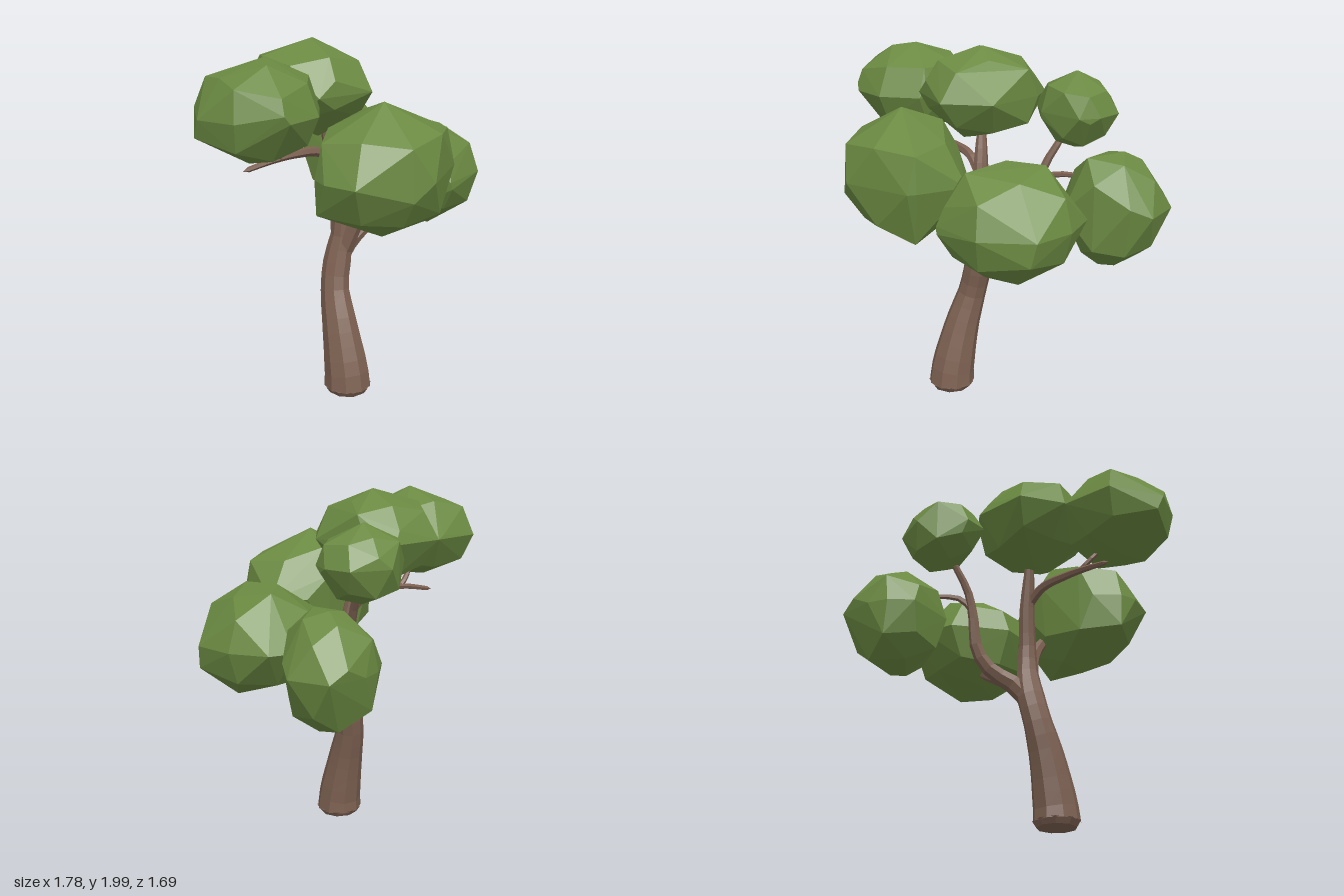
import * as THREE from 'three';
import { ConvexGeometry } from 'three/addons/geometries/ConvexGeometry.js';

const bark = new THREE.MeshStandardMaterial({ color: 0x7d6152, flatShading: true });
const leaf = new THREE.MeshStandardMaterial({ color: 0x6b8a42, flatShading: true });

// Tapered tube through points [x, y, z, radius], closed to a point at its end
function limb(name, points, sides, segments) {
  const curve = new THREE.CatmullRomCurve3(points.map(p => new THREE.Vector3(p[0], p[1], p[2])));
  const geo = new THREE.TubeGeometry(curve, segments, 1, sides);
  const pos = geo.attributes.position, nor = geo.attributes.normal;
  const n = new THREE.Vector3();
  for (let i = 0; i < pos.count; i++) {
    const ring = Math.floor(i / (sides + 1));
    const u = ring / segments;
    const t = curve.getUtoTmapping(u) * (points.length - 1);
    const k = Math.min(Math.floor(t), points.length - 2);
    const r = ring === segments ? 0 : THREE.MathUtils.lerp(points[k][3], points[k + 1][3], t - k);
    n.fromBufferAttribute(nor, i).multiplyScalar(r).add(curve.getPointAt(u));
    pos.setXYZ(i, n.x, n.y, n.z);
  }
  geo.computeVertexNormals();
  const mesh = new THREE.Mesh(geo, bark);
  mesh.name = name;
  return mesh;
}

// Faceted clump: hull of three crossing sections through its centre, front [x, y],
// side [z, y] and top [x, z], rounded out by one corner in each octant
function clump(name, [cx, cy, cz], front, side, top) {
  const points = [
    ...front.map(([x, y]) => new THREE.Vector3(x, y, cz)),
    ...side.map(([z, y]) => new THREE.Vector3(cx, y, z)),
    ...top.map(([x, z]) => new THREE.Vector3(x, cy, z)),
  ];
  const box = new THREE.Box3().setFromPoints(points);
  const mid = box.getCenter(new THREE.Vector3());
  const reach = box.getSize(new THREE.Vector3()).multiplyScalar(0.29);
  for (const sx of [-1, 1]) for (const sy of [-1, 1]) for (const sz of [-1, 1]) {
    points.push(new THREE.Vector3(sx, sy, sz).multiply(reach).add(mid));
  }
  const mesh = new THREE.Mesh(new ConvexGeometry(points), leaf);
  mesh.name = name;
  return mesh;
}

export function createModel() {
  const tree = new THREE.Group();
  tree.name = 'tree';

  // Bevelled trunk foot, its sides lined up with the trunk
  const foot = new THREE.Mesh(new THREE.CylinderGeometry(0.134, 0.112, 0.035, 9), bark);
  foot.name = 'trunkFoot';
  foot.position.set(-0.015, 0.0275, 0.26);
  foot.rotation.y = -Math.PI / 2;
  tree.add(foot);

  const wood = new THREE.Group();
  wood.name = 'trunkAndBranches';
  wood.add(
    limb('trunk', [
      [-0.015, 0.04, 0.26, 0.134], [-0.015, 0.08, 0.259, 0.131], [-0.02, 0.2, 0.237, 0.121],
      [-0.03, 0.4, 0.187, 0.1], [-0.03, 0.6, 0.125, 0.08], [0, 0.76, 0.1, 0.08], [0.025, 0.9, 0.1, 0.062],
      [0.025, 1.05, 0.1, 0.052], [0, 1.25, 0.08, 0.046], [-0.03, 1.4, 0.07, 0.04], [-0.08, 1.6, 0.05, 0.02],
    ], 9, 20),
    limb('frontBranch', [
      [0.0, 0.74, 0.1, 0.055], [0.045, 0.88, 0.13, 0.055], [0.085, 1.0, 0.17, 0.045],
      [0.12, 1.12, 0.24, 0.036], [0.14, 1.26, 0.36, 0.025],
    ], 7, 9),
    limb('rightBranch', [
      [-0.01, 0.7, 0.1, 0.05], [0.07, 0.82, 0.08, 0.05], [0.22, 0.91, 0.04, 0.038],
      [0.36, 0.99, 0.02, 0.03], [0.52, 1.12, 0.02, 0.02],
    ], 7, 9),
    limb('backBranch', [
      [0, 0.7, 0.1, 0.05], [0.05, 0.81, 0.03, 0.055], [0.1, 0.89, -0.1, 0.044], [0.12, 1.0, -0.18, 0.037],
      [0.12, 1.2, -0.21, 0.03], [0.12, 1.36, -0.25, 0.024], [0.13, 1.5, -0.33, 0.02], [0.13, 1.62, -0.4, 0.014],
    ], 7, 14),
    limb('backTwig', [
      [0.12, 1.24, -0.21, 0.022], [0.16, 1.32, -0.27, 0.018], [0.23, 1.34, -0.37, 0.015], [0.32, 1.32, -0.48, 0.012],
    ], 6, 6),
    limb('leftBranch', [
      [0, 1.3, 0.08, 0.03], [-0.12, 1.39, 0.11, 0.028], [-0.28, 1.41, 0.16, 0.023],
      [-0.42, 1.4, 0.19, 0.018], [-0.6, 1.365, 0.21, 0.013],
    ], 6, 20),
    limb('leftTwig', [
      [-0.38, 1.405, 0.185, 0.017], [-0.43, 1.45, 0.21, 0.016], [-0.49, 1.53, 0.27, 0.012],
    ], 6, 4),
  );
  tree.add(wood);

  // Leaf clumps: centre, then the front, side and top sections
  const leaves = new THREE.Group();
  leaves.name = 'foliage';
  leaves.add(
    clump('leftClump', [-0.56, 1.7, 0.33],
      [[-0.89, 1.6], [-0.75, 1.88], [-0.51, 1.97], [-0.28, 1.86], [-0.25, 1.75], [-0.28, 1.58], [-0.37, 1.47], [-0.61, 1.44]],
      [[0.67, 1.74], [0.64, 1.82], [0.46, 1.95], [0.12, 1.9], [0.0, 1.72], [0.1, 1.52], [0.52, 1.49]],
      [[-0.89, 0.38], [-0.8, 0.07], [-0.52, -0.02], [-0.27, 0.21], [-0.24, 0.37], [-0.34, 0.58], [-0.53, 0.67], [-0.77, 0.56]]),
    clump('topClump', [-0.14, 1.74, 0.03],
      [[-0.41, 1.92], [-0.12, 2], [0, 1.94], [0.16, 1.76], [0.08, 1.56], [-0.15, 1.49], [-0.34, 1.58]],
      [[0.35, 1.82], [0.28, 1.93], [0.05, 2], [-0.19, 1.93], [-0.28, 1.81], [-0.21, 1.54], [0.14, 1.49], [0.34, 1.67]],
      [[-0.48, 0.01], [-0.4, -0.24], [-0.1, -0.32], [0.03, -0.24], [0.2, 0.06], [0.09, 0.32], [-0.24, 0.37]]),
    clump('frontClump', [0.05, 1.37, 0.52],
      [[-0.34, 1.37], [-0.3, 1.55], [0.05, 1.73], [0.43, 1.56], [0.45, 1.37], [0.37, 1.07], [0.05, 1.01], [-0.33, 1.18]],
      [[0.82, 1.55], [0.52, 1.73], [0.3, 1.65], [0.22, 1.5], [0.25, 1.18], [0.38, 1.05], [0.74, 1.13], [0.84, 1.28]],
      [[-0.25, 0.38], [0.2, 0.2], [0.4, 0.25], [0.45, 0.57], [0.17, 0.84], [-0.25, 0.79], [-0.34, 0.63]]),
    clump('rightClump', [0.53, 1.22, 0.05],
      [[0.43, 1.51], [0.68, 1.46], [0.8, 1.32], [0.88, 1.09], [0.67, 0.92], [0.42, 0.94], [0.24, 1.02], [0.21, 1.36]],
      [[0.44, 1.18], [0.4, 1.32], [0.29, 1.49], [-0.13, 1.5], [-0.3, 1.26], [-0.2, 1.02], [0.19, 0.92], [0.36, 1.05]],
      [[0.17, 0.07], [0.3, -0.25], [0.48, -0.33], [0.62, -0.33], [0.79, -0.19], [0.89, 0.02], [0.79, 0.3], [0.52, 0.44], [0.22, 0.19]]),
    clump('backClump', [0.14, 1.68, -0.42],
      [[0.13, 1.89], [0.35, 1.79], [0.37, 1.65], [0.28, 1.51], [0.05, 1.49], [-0.08, 1.6], [-0.06, 1.8]],
      [[-0.43, 1.89], [-0.26, 1.82], [-0.22, 1.65], [-0.31, 1.51], [-0.42, 1.47], [-0.59, 1.53], [-0.62, 1.74], [-0.55, 1.83]],
      [[-0.11, -0.4], [0.07, -0.63], [0.29, -0.61], [0.37, -0.48], [0.37, -0.36], [0.15, -0.22], [-0.07, -0.26]]),
    clump('backRightClump', [0.4, 1.2, -0.56],
      [[0.15, 1.03], [0.27, 0.91], [0.44, 0.87], [0.58, 0.97], [0.63, 1.25], [0.52, 1.46], [0.3, 1.48], [0.14, 1.32]],
      [[-0.4, 1.48], [-0.61, 1.5], [-0.71, 1.45], [-0.84, 1.26], [-0.72, 0.91], [-0.48, 0.87], [-0.38, 0.95], [-0.27, 1.19]],
      [[0.5, -0.85], [0.65, -0.68], [0.6, -0.51], [0.4, -0.3], [0.22, -0.33], [0.11, -0.6], [0.19, -0.73], [0.29, -0.8]]),
  );
  tree.add(leaves);
  return tree;
}
